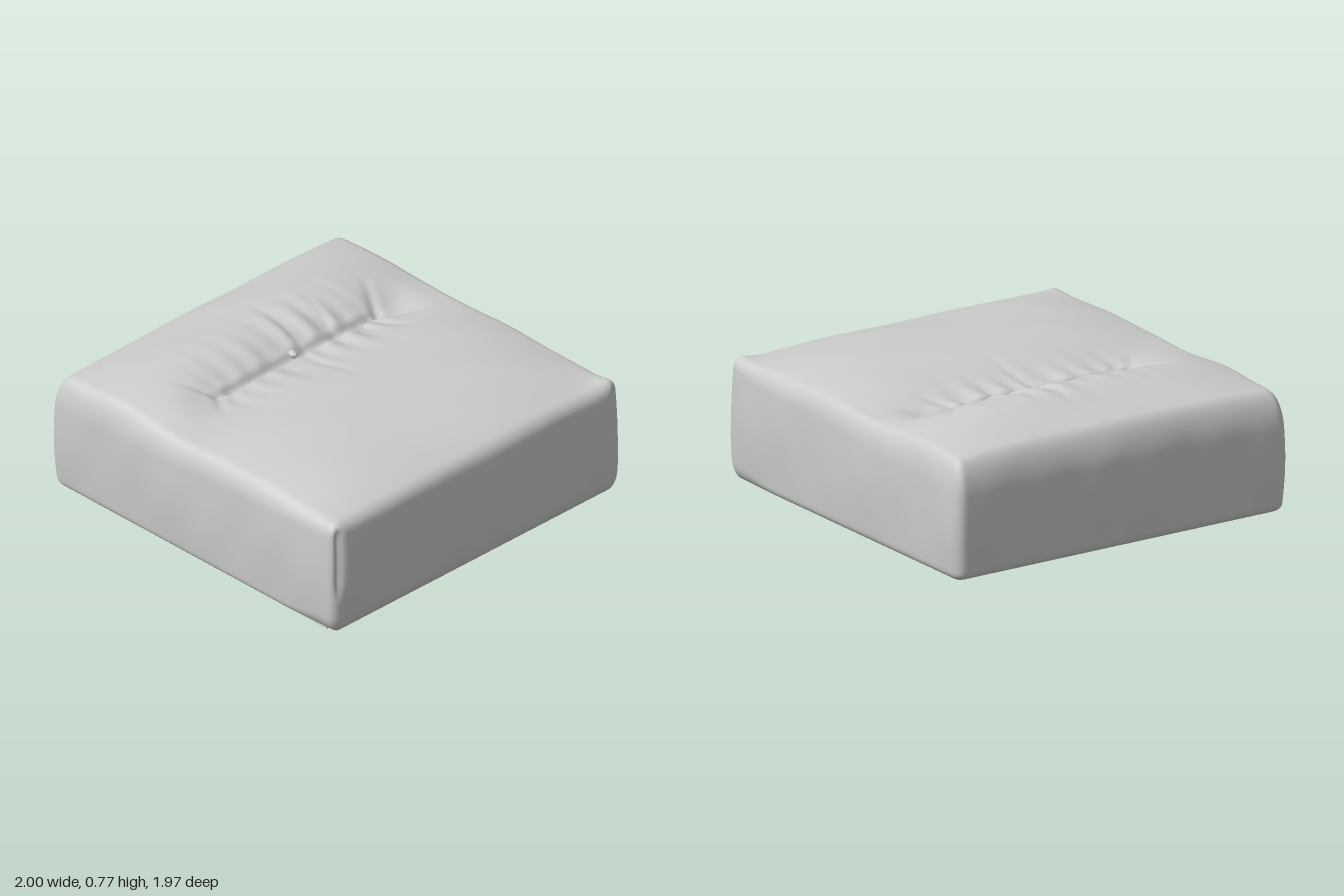
import * as THREE from 'three';
import { mergeVertices } from 'three/addons/utils/BufferGeometryUtils.js';

const SEAM_X = -0.28, SEAM_Z = 0.55;
const BOTTOM = 0.055, TOP = 0.665;
const { smoothstep, clamp, lerp } = THREE.MathUtils;
const bell = (d, width) => Math.exp(-((d / width) ** 2));

// Pinched folds fanning out from the seam: [x0, z0, x1, z1, depth]
const FOLDS = [
  [-0.28, -0.55, -0.5, -0.68, 0.025],
  [-0.27, -0.56, -0.16, -0.76, 0.02],
  [-0.27, -0.5, -0.06, -0.59, 0.018],
  [-0.27, -0.42, -0.1, -0.47, 0.012],
  [-0.28, 0.53, -0.46, 0.65, 0.022],
  [-0.28, 0.53, -0.14, 0.62, 0.018],
  [-0.27, 0.44, -0.15, 0.52, 0.012],
  [-0.28, -0.03, 0.12, -0.04, 0.014],
  [-0.28, -0.06, -0.64, -0.09, 0.014],
  [-0.28, -0.27, -0.58, -0.33, 0.014],
];

function fold(x, z, [x0, z0, x1, z1, depth]) {
  const dx = x1 - x0, dz = z1 - z0;
  const t = clamp(((x - x0) * dx + (z - z0) * dz) / (dx * dx + dz * dz), 0, 1);
  const d = Math.hypot(x - x0 - t * dx, z - z0 - t * dz);
  return -depth * (1 - 0.9 * t) * bell(d, 0.022);
}

// Height added to the upper face: crown, valley, tufted seam, gathers and folds
function relief(x, z) {
  const crown = 0.092 * (1 - Math.abs(x) ** 4) * (1 - Math.abs(z) ** 3.7);
  const along = 1 - smoothstep(Math.abs(z), SEAM_Z - 0.1, SEAM_Z + 0.03);
  const wide = 1 - smoothstep(Math.abs(z), SEAM_Z - 0.1, SEAM_Z + 0.3);
  const d = x - SEAM_X;
  // shallow valley from front to back, deepest beside the seam
  let y = crown - 0.045 * bell(x + 0.17, x < -0.17 ? 0.22 : 0.27) * (1 - Math.abs(z) ** 6);
  y -= 0.028 * bell(d, d < 0 ? 0.1 : 0.18) * wide;
  y -= 0.04 * bell(d, 0.015) * along;
  // plump roll beside the seam
  y += 0.02 * bell(x + 0.56, 0.16) * (1 - z * z);
  y -= 0.025 * bell(Math.hypot(x + 0.28, z + 0.68), 0.1);
  y += 0.012 * bell(Math.hypot(x + 0.28, z - 0.76), 0.13);
  // gathers run across the seam and die out away from it
  const gather = Math.sin(27 * z + 3 * Math.sin(6 * z + 1)) + 0.7 * Math.sin(49 * z + 6 * x);
  y += 0.007 * gather * along * bell(d, d < 0 ? 0.24 : 0.18) * smoothstep(Math.abs(d), 0, 0.06);
  for (const f of FOLDS) y += fold(x, z, f);
  // slack cloth
  y += 0.003 * Math.sin(5 * x + 1) * Math.sin(6 * z + 0.5) + 0.002 * Math.sin(13 * x + 9 * z);
  // pulled-up corners on one side
  return y + 0.025 * bell(Math.hypot(x - 0.97, z + 0.96), 0.09)
    + 0.012 * bell(Math.hypot(x - 0.97, z - 0.95), 0.08);
}

// Rounds one coordinate: distance past the inner box, in units of the edge radius
function overshoot(v, lo, hi, rLo, rHi) {
  if (v < lo + rLo) return [lo + rLo, (v - lo - rLo) / rLo, rLo];
  if (v > hi - rHi) return [hi - rHi, (v - hi + rHi) / rHi, rHi];
  return [v, 0, 1];
}

function cushionGeometry() {
  const box = new THREE.BoxGeometry(2, TOP - BOTTOM, 2, 125, 30, 120);
  box.translate(0, (TOP + BOTTOM) / 2, 0);
  box.deleteAttribute('uv');
  box.deleteAttribute('normal');
  const geo = mergeVertices(box, 1e-4);
  const pos = geo.attributes.position;
  for (let i = 0; i < pos.count; i++) {
    const px = pos.getX(i), py = pos.getY(i), pz = pos.getZ(i);
    // softer at the top of the -x side and at the bottom of the +x side
    const topR = lerp(0.17, 0.06, (px + 1) / 2);
    const bottomR = lerp(0.045, 0.1, smoothstep(px, 0.6, 1));
    const axes = [
      overshoot(px, -0.985, 0.985, 0.08, 0.05),
      overshoot(py, BOTTOM, TOP, bottomR, topR),
      overshoot(pz, -0.97, 0.965, 0.05, 0.06),
    ];
    const len = Math.max(Math.hypot(axes[0][1], axes[1][1], axes[2][1]), 1e-6);
    const outer = axes.some((a) => a[1] !== 0);
    const [x, y, z] = axes.map(([c, o, r]) => (outer ? c + (o / len) * r : c));

    // gentle bulge and slack on the side walls
    const v = clamp((y - BOTTOM) / (TOP - BOTTOM), 0, 1);
    const belly = Math.sin(Math.PI * v);
    const sx = smoothstep(Math.abs(x), 0.8, 0.97) * Math.sign(x);
    const sz = smoothstep(Math.abs(z), 0.8, 0.96) * Math.sign(z);
    const ripple = (t) => 0.004 * Math.sin(7 * t + 4 * y) + 0.002 * Math.sin(19 * t - 5 * y);
    const ox = sx * belly * (0.01 + ripple(z));
    const oz = sz * belly * (0.014 + ripple(x + 2));
    // vertical pinches beside the +x corners
    const pinch = x > 0.9 ? smoothstep(v, 0.3, 0.55) * (1 - smoothstep(v, 0.88, 1))
      * (bell(z - 0.93, 0.018) + bell(z + 0.94, 0.018)) : 0;
    const lift = smoothstep(y, 0.35, TOP) * relief(x, z);
    pos.setXYZ(i, x + ox - 0.025 * pinch, y + lift, z + oz);
  }
  geo.computeVertexNormals();
  return geo;
}

export function createModel() {
  const group = new THREE.Group();
  const material = new THREE.MeshStandardMaterial({ color: 0xcccccc });
  const add = (name, geometry, x, y, z) => {
    const mesh = new THREE.Mesh(geometry, material);
    mesh.name = name;
    mesh.position.set(x, y, z);
    group.add(mesh);
    return mesh;
  };

  add('cushion', cushionGeometry(), 0, 0, 0);

  // Button in the middle of the seam
  const button = add('button', new THREE.SphereGeometry(1, 20, 12), -0.305, 0.685, 0);
  button.scale.set(0.036, 0.018, 0.022);

  // Four square block feet
  const foot = new THREE.BoxGeometry(0.33, 0.07, 0.33);
  for (const x of [-0.61, 0.67])
    for (const z of [-0.65, 0.71]) add('foot', foot, x, 0.035, z);

  return group;
}
